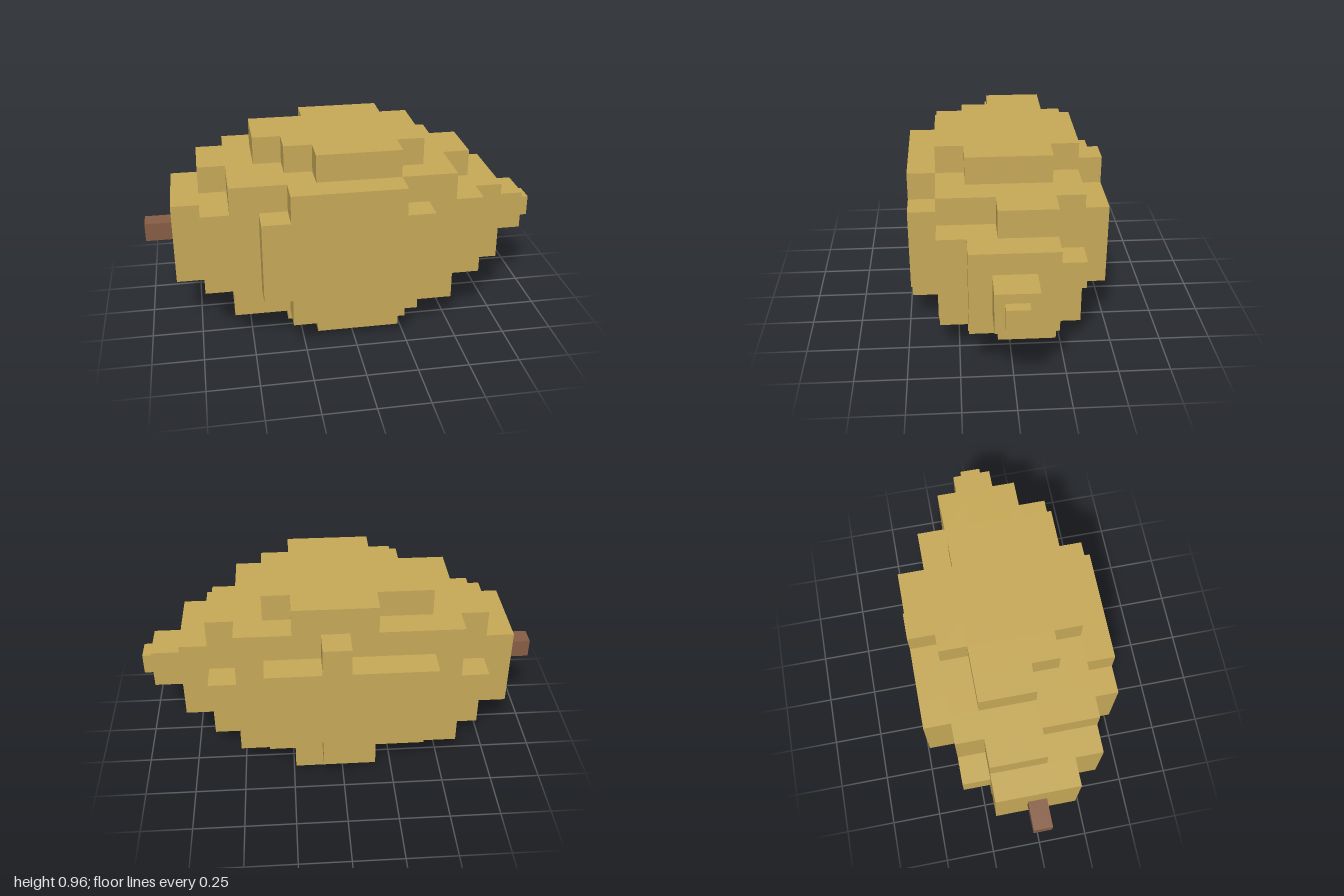
import * as THREE from 'three';

const V = 0.1375;                       // voxel size
const X0 = -0.86, Z0 = -3.5 * V;        // low corner of the voxel grid
const MID = 3.5 * V;                    // height of the long axis

// Each layer lists rows from back to front as [first, last] voxel along x
const cap = [null, [5, 7], [3, 8], [3, 8], [4, 8], [5, 7], null];
const shoulder = [[6, 6], [2, 9], [1, 10], [1, 10], [2, 9], [2, 9], [4, 7]];
const belly = [[3, 8], [2, 9], [0, 11], [0, 11], [0, 11], [1, 10], [3, 8]];
const waist = belly.map((row, k) => (k === 1 ? [1, 10] : row));
const layers = [cap, shoulder, belly, waist, belly, shoulder, cap];

const filled = (i, j, k) => {
  const row = layers[j]?.[k];
  return !!row && i >= row[0] && i <= row[1];
};

// Blocky skin: one quad for every voxel side that has no neighbour
function voxelSkin() {
  const pos = [], nor = [], idx = [];
  for (let j = 0; j < 7; j++) for (let k = 0; k < 7; k++) for (let i = 0; i < 12; i++) {
    if (!filled(i, j, k)) continue;
    for (let axis = 0; axis < 3; axis++) for (const sign of [-1, 1]) {
      const n = [0, 0, 0];
      n[axis] = sign;
      if (filled(i + n[0], j + n[1], k + n[2])) continue;
      const base = pos.length / 3;
      const u = (axis + 1) % 3, v = (axis + 2) % 3;
      for (const [a, b] of [[0, 0], [1, 0], [1, 1], [0, 1]]) {
        const c = [i, j, k];
        c[axis] += sign > 0 ? 1 : 0;
        c[u] += a;
        c[v] += b;
        pos.push(X0 + c[0] * V, c[1] * V, Z0 + c[2] * V);
        nor.push(...n);
      }
      const q = sign > 0 ? [0, 1, 2, 0, 2, 3] : [0, 2, 1, 0, 3, 2];
      idx.push(...q.map((t) => base + t));
    }
  }
  const g = new THREE.BufferGeometry();
  g.setAttribute('position', new THREE.Float32BufferAttribute(pos, 3));
  g.setAttribute('normal', new THREE.Float32BufferAttribute(nor, 3));
  g.setIndex(idx);
  return g;
}

export function createModel() {
  const group = new THREE.Group();
  const peel = new THREE.MeshStandardMaterial({ color: 0xc8aa58 });
  peel.name = 'yellowPeel';
  const wood = new THREE.MeshStandardMaterial({ color: 0x885e45 });
  wood.name = 'brownStem';

  const add = (name, geometry, material) => {
    const m = new THREE.Mesh(geometry, material);
    m.name = name;
    group.add(m);
    return m;
  };
  // Square bar along x, centred on the long axis
  const bar = (name, x1, x2, size, material) =>
    add(name, new THREE.BoxGeometry(x2 - x1, size, size), material)
      .position.set((x1 + x2) / 2, MID, 0);

  add('fruitBody', voxelSkin(), peel);
  bar('tipBase', 0.79, 0.947, 0.2, peel);
  bar('tipEnd', 0.947, 1, 0.106, peel);
  bar('stem', -1, X0, 0.094, wood);
  return group;
}
